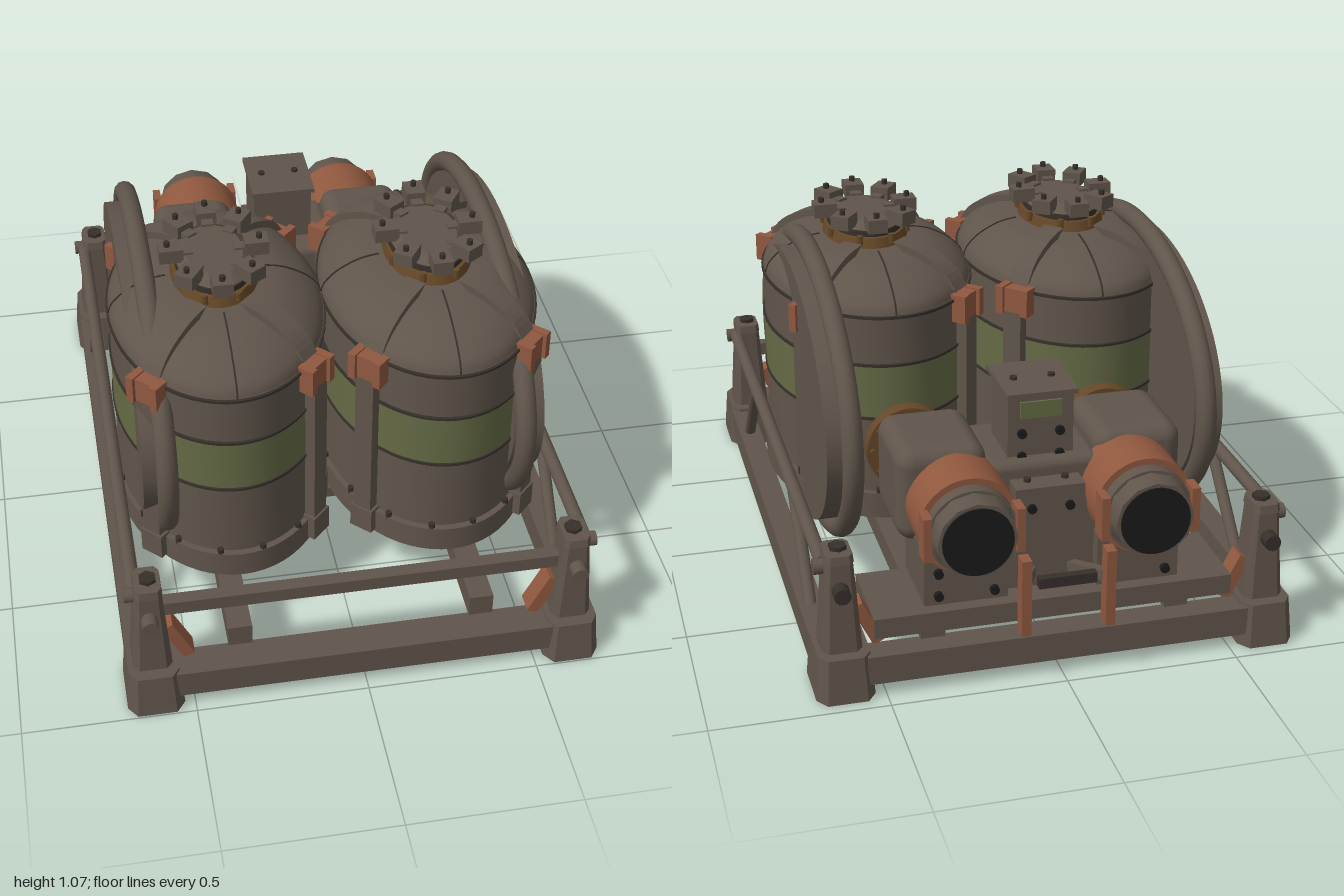
import * as THREE from 'three';
import { RoundedBoxGeometry } from 'three/addons/geometries/RoundedBoxGeometry.js';

const mat = (name, color) => {
  const m = new THREE.MeshStandardMaterial({ color });
  m.name = name;
  return m;
};

export function createModel() {
  const model = new THREE.Group();
  const steel = mat('brown steel', 0x60554b);
  const green = mat('olive green', 0x656a45);
  const rust = mat('rust orange', 0x90583f);
  const bronze = mat('bronze', 0x664828);
  const dark = mat('dark metal', 0x37302b);
  const black = mat('black', 0x1c1b1b);

  const add = (name, geo, material, x = 0, y = 0, z = 0, parent = model) => {
    const m = new THREE.Mesh(geo, material);
    m.name = name;
    m.position.set(x, y, z);
    parent.add(m);
    return m;
  };
  const box = (name, w, h, d, material, x, y, z, parent) =>
    add(name, new THREE.BoxGeometry(w, h, d), material, x, y, z, parent);
  const V = (x, y, z) => new THREE.Vector3(x, y, z);
  // bar between two points; round when h is omitted
  const bar = (name, a, b, material, w, h, parent) => {
    const len = a.distanceTo(b);
    const geo = h ? new THREE.BoxGeometry(w, h, len)
      : new THREE.CylinderGeometry(w, w, len, 16).rotateX(Math.PI / 2);
    const m = add(name, geo, material, 0, 0, 0, parent);
    m.position.copy(a).lerp(b, 0.5);
    m.quaternion.setFromRotationMatrix(new THREE.Matrix4().lookAt(b, a, V(0, 1, 0)));
    return m;
  };
  // cylinder along z
  const drum = (name, r0, r1, len, sides, material, x, y, z) =>
    add(name, new THREE.CylinderGeometry(r0, r1, len, sides).rotateX(Math.PI / 2), material, x, y, z);
  // tapered block with chamfered corners, flat faces, standing on y = 0
  const block = (w0, d0, w1, d1, h) => {
    const g = new THREE.CylinderGeometry(1, 1, h, 8).rotateY(Math.PI / 8).toNonIndexed();
    const p = g.attributes.position;
    const snap = v => (Math.abs(v) < 0.1 ? 0 : Math.sign(v) * (Math.abs(v) > 0.6 ? 0.5 : 0.34));
    for (let i = 0; i < p.count; i++) {
      const top = p.getY(i) > 0;
      p.setXYZ(i, snap(p.getX(i)) * (top ? w1 : w0), p.getY(i) + h / 2, snap(p.getZ(i)) * (top ? d1 : d0));
    }
    g.computeVertexNormals();
    return g;
  };

  // ---- base frame ----
  for (const s of [-1, 1]) {
    for (const [z, e] of [[0.88, 1], [-0.85, -1]]) {
      add('foot', block(0.165, 0.23, 0.145, 0.2, 0.13), steel, s * 0.612, 0, z);
      add('cornerPost', block(0.115, 0.13, 0.075, 0.1, 0.285), steel, s * 0.613, 0.12, z);
      add('postCap', block(0.08, 0.115, 0.075, 0.105, 0.025), steel, s * 0.613, 0.395, z);
      add('postBolt', new THREE.CylinderGeometry(0.026, 0.026, 0.014, 6), dark, s * 0.61, 0.425, z);
      add('sideKnob', new THREE.CylinderGeometry(0.022, 0.022, 0.05, 12).rotateZ(Math.PI / 2), steel, s * 0.655, 0.372, z);
      drum('endKnob', 0.024, 0.024, 0.06, 12, e > 0 ? steel : dark, s * 0.615, 0.32, z + e * 0.065);
      bar('cornerBrace', V(s * 0.565, 0.245, z - e * 0.01), V(s * 0.505, 0.125, z - e * 0.01), rust, 0.06, 0.035);
    }
    box('sideBeam', 0.07, 0.09, 1.6, steel, s * 0.65, 0.075, 0.01);
    bar('sideRail', V(s * 0.65, 0.372, 0.87), V(s * 0.65, 0.372, -0.83), steel, 0.02);
    bar('railBrace', V(s * 0.65, 0.1, 0.63), V(s * 0.65, 0.36, 0.4), steel, 0.018);
    bar('railBrace', V(s * 0.65, 0.1, -0.61), V(s * 0.65, 0.36, -0.35), steel, 0.018);
    box('tankBearer', 0.07, 0.07, 1.76, steel, s * 0.355, 0.155, 0.0);
  }
  box('frontBeam', 1.1, 0.085, 0.1, steel, 0, 0.08, 0.92);
  box('rearBeam', 1.1, 0.085, 0.08, steel, 0, 0.08, -0.905);
  box('frontRail', 1.16, 0.042, 0.04, steel, 0, 0.317, 0.88);
  box('pumpPlatform', 1.04, 0.06, 0.27, steel, 0, 0.17, -0.745);
  box('tankLink', 0.145, 0.035, 0.1, steel, 0, 0.185, 0.3);

  // ---- oval tanks ----
  const R = 0.314, K = 0.464 / R, TZ = 0.193;
  const dome = new THREE.SplineCurve([[R, 0.84], [0.303, 0.872], [0.268, 0.908], [0.222, 0.935], [0.18, 0.95], [0.11, 0.96]]
    .map(([r, y]) => new THREE.Vector2(r, y))).getPoints(20);
  // dome height at a given radius
  const domeY = r => {
    const i = Math.max(1, dome.findIndex(p => p.x <= r));
    const a = dome[i - 1], b = dome[i];
    return THREE.MathUtils.lerp(a.y, b.y, THREE.MathUtils.clamp((a.x - r) / (a.x - b.x), 0, 1));
  };
  const oval = (name, r, y0, y1, material, parent, r1 = r) =>
    add(name, new THREE.CylinderGeometry(r1, r, y1 - y0, 64).scale(1, 1, K), material, 0, (y0 + y1) / 2, 0, parent);
  const onOval = (r, y, t) => V(r * Math.cos(t), y, r * K * Math.sin(t));

  for (const s of [-1, 1]) {
    const tank = new THREE.Group();
    tank.name = s > 0 ? 'leftTank' : 'rightTank';
    tank.position.set(s * 0.315, 0, TZ);
    model.add(tank);
    oval('tankWall', R, 0.28, 0.845, steel, tank);
    oval('tankSkirt', 0.328, 0.2, 0.28, steel, tank);
    oval('tankFloor', 0.27, 0.192, 0.2, steel, tank);
    oval('greenBand', R + 0.002, 0.52, 0.69, green, tank);
    for (const y of [0.52, 0.69, 0.84]) oval('hoop', R + 0.006, y - 0.004, y + 0.004, dark, tank);
    add('dome', new THREE.LatheGeometry(dome, 64).scale(1, 1, K), steel, 0, 0, 0, tank);
    oval('bronzeCollar', 0.132, 0.94, 0.988, bronze, tank, 0.122);
    oval('lidGasket', 0.114, 0.988, 1.006, dark, tank);
    oval('lid', 0.11, 1.006, 1.03, steel, tank, 0.085);

    // skirt bolts, dome seams, lid clamps
    for (let i = 0; i < 16; i++) {
      const p = onOval(0.321, 0.285, (i + 0.5) * Math.PI / 8);
      add('skirtBolt', new THREE.CylinderGeometry(0.01, 0.01, 0.02, 6), dark, p.x, p.y, p.z, tank);
    }
    for (let i = 0; i < 8; i++) {
      const t = i * Math.PI / 4;
      if (i % 2 === 0) for (let j = 0; j < 18; j += 2) {
        const a = dome[j], b = dome[j + 2];
        bar('domeSeam', onOval(a.x, a.y, t), onOval(b.x, b.y, t), dark, 0.005, 0.006, tank);
      }
      const c = onOval(0.124, 1.03, t), clamp = new THREE.Group();
      clamp.name = 'lidClamp';
      clamp.position.copy(c);
      clamp.rotation.y = Math.atan2(c.x, c.z);
      tank.add(clamp);
      box('clampBlock', 0.058, 0.042, 0.07, steel, 0, 0.005, 0, clamp);
      box('clampToe', 0.034, 0.03, 0.05, steel, 0, -0.008, -0.04, clamp);
      add('clampBolt', new THREE.CylinderGeometry(0.009, 0.009, 0.03, 8), dark, 0, 0.026, 0.01, clamp);
      const b = onOval(0.127, 0.982, t + Math.PI / 8);
      add('collarBolt', new THREE.CylinderGeometry(0.01, 0.01, 0.03, 6), bronze, b.x, b.y, b.z, tank);
    }
    // diagonal straps over the dome, clasps and legs
    for (const sx of [-1, 1]) for (const sz of [-1, 1]) {
      const px = sx * 0.234, pz = sz * 0.342, turn = Math.atan2(sx, sz);
      const top = [], under = [];
      for (let j = 0; j <= 14; j++) {
        const d = 0.008 + 0.156 * j / 14;
        const y = domeY(Math.hypot(px - sx * d, (pz - sz * d) / K));
        top.push(new THREE.Vector2(d * Math.SQRT2, y + 0.022));
        under.unshift(new THREE.Vector2(d * Math.SQRT2, y - 0.025));
      }
      const ribbon = new THREE.ExtrudeGeometry(new THREE.Shape([...under, ...top.reverse()]),
        { depth: 0.065, bevelEnabled: false }).translate(0, 0, -0.0325);
      add('domeStrap', ribbon, steel, px, 0, pz, tank).rotation.y = Math.atan2(sz, -sx);
      const clasp = new THREE.Group();
      clasp.name = 'strapClasp';
      clasp.position.set(px, 0.815, pz);
      clasp.rotation.y = turn;
      tank.add(clasp);
      box('claspPlate', 0.075, 0.075, 0.045, rust, 0, 0, 0, clasp);
      for (const e of [-1, 1]) box('claspEar', 0.024, 0.085, 0.06, rust, e * 0.042, 0, 0.004, clasp);
      box('strapLeg', 0.06, 0.56, 0.035, steel, px + sx * 0.006, 0.5, pz, tank).rotation.y = turn;
      box('strapFoot', 0.075, 0.08, 0.05, steel, px + sx * 0.004, 0.25, pz, tank).rotation.y = turn;
    }
    // side shield: oval tube with a filled disc
    const loop = new THREE.EllipseCurve(0, 0, 0.645, 0.41).getPoints(48).slice(0, -1)
      .map(p => V(s * 0.52, 0.56 + p.y, 0.015 + p.x));
    add('shieldTube', new THREE.TubeGeometry(new THREE.CatmullRomCurve3(loop, true), 96, 0.031, 12, true), steel);
    add('shieldDisc', new THREE.CylinderGeometry(1, 1, 0.088, 64).rotateZ(Math.PI / 2).scale(1, 0.385, 0.6),
      steel, s * 0.543, 0.56, 0.012);
  }

  // ---- pumps ----
  const PY = 0.455;
  for (const s of [-1, 1]) {
    drum('neckPipe', 0.09, 0.09, 0.24, 32, steel, s * 0.3, PY, -0.33);
    drum('bronzeFlange', 0.128, 0.128, 0.045, 32, bronze, s * 0.3, PY, -0.333);
    for (let i = 0; i < 10; i++) {
      const t = i * Math.PI / 5;
      drum('flangeBolt', 0.011, 0.011, 0.065, 6, bronze, s * 0.3 + 0.11 * Math.cos(t), PY + 0.11 * Math.sin(t), -0.333);
    }
    add('pumpBody', new RoundedBoxGeometry(0.26, 0.28, 0.31, 4, 0.05), steel, s * 0.285, 0.475, -0.572);
    drum('pumpDrum', 0.143, 0.143, 0.18, 32, rust, s * 0.25, PY, -0.79);
    drum('pumpCollar', 0.125, 0.125, 0.05, 32, steel, s * 0.25, PY, -0.895);
    drum('pumpNozzle', 0.122, 0.112, 0.07, 12, steel, s * 0.25, PY, -0.94);
    drum('nozzleOpening', 0.1, 0.1, 0.006, 32, black, s * 0.25, PY, -0.977);
    for (const e of [-1, 1]) {
      box('nozzleTab', 0.024, 0.13, 0.06, rust, s * 0.25 + e * 0.13, PY, -0.91);
    }
    box('pumpPedestal', 0.24, 0.17, 0.24, steel, s * 0.25, 0.275, -0.72);
    for (const x of [0.17, 0.33]) for (const y of [0.23, 0.3])
      drum('pedestalBolt', 0.014, 0.014, 0.02, 8, black, s * x, y, -0.845);
    box('rearBar', 0.028, 0.23, 0.045, rust, s * 0.12, 0.275, -0.977);
    bar('barBracket', V(s * 0.12, 0.3, -0.96), V(s * 0.06, 0.26, -0.82), steel, 0.03, 0.03);
  }
  box('rearLink', 0.165, 0.03, 0.025, dark, 0, 0.31, -0.977);

  // ---- control console between the pumps ----
  box('consoleBase', 0.3, 0.26, 0.3, steel, 0, 0.33, -0.65);
  add('crossPipe', new RoundedBoxGeometry(0.34, 0.2, 0.3, 2, 0.03), steel, 0, 0.46, -0.59);
  box('consoleStep', 0.2, 0.22, 0.3, steel, 0, 0.4, -0.66);
  box('consoleTower', 0.19, 0.34, 0.18, steel, 0, 0.575, -0.61);
  box('consoleTop', 0.205, 0.014, 0.23, steel, 0, 0.75, -0.605);
  box('consoleLabel', 0.12, 0.05, 0.008, green, 0, 0.7, -0.703);
  for (const x of [-0.055, 0.055]) {
    for (const y of [0.56, 0.63]) drum('consoleBolt', 0.014, 0.014, 0.02, 8, black, x, y, -0.701);
    drum('stepBolt', 0.014, 0.014, 0.02, 8, black, x, 0.45, -0.811);
    for (const [y, z] of [[0.76, -0.61], [0.514, -0.76]])
      add('topBolt', new THREE.CylinderGeometry(0.011, 0.011, 0.012, 8), dark, x, y, z);
  }
  return model;
}
